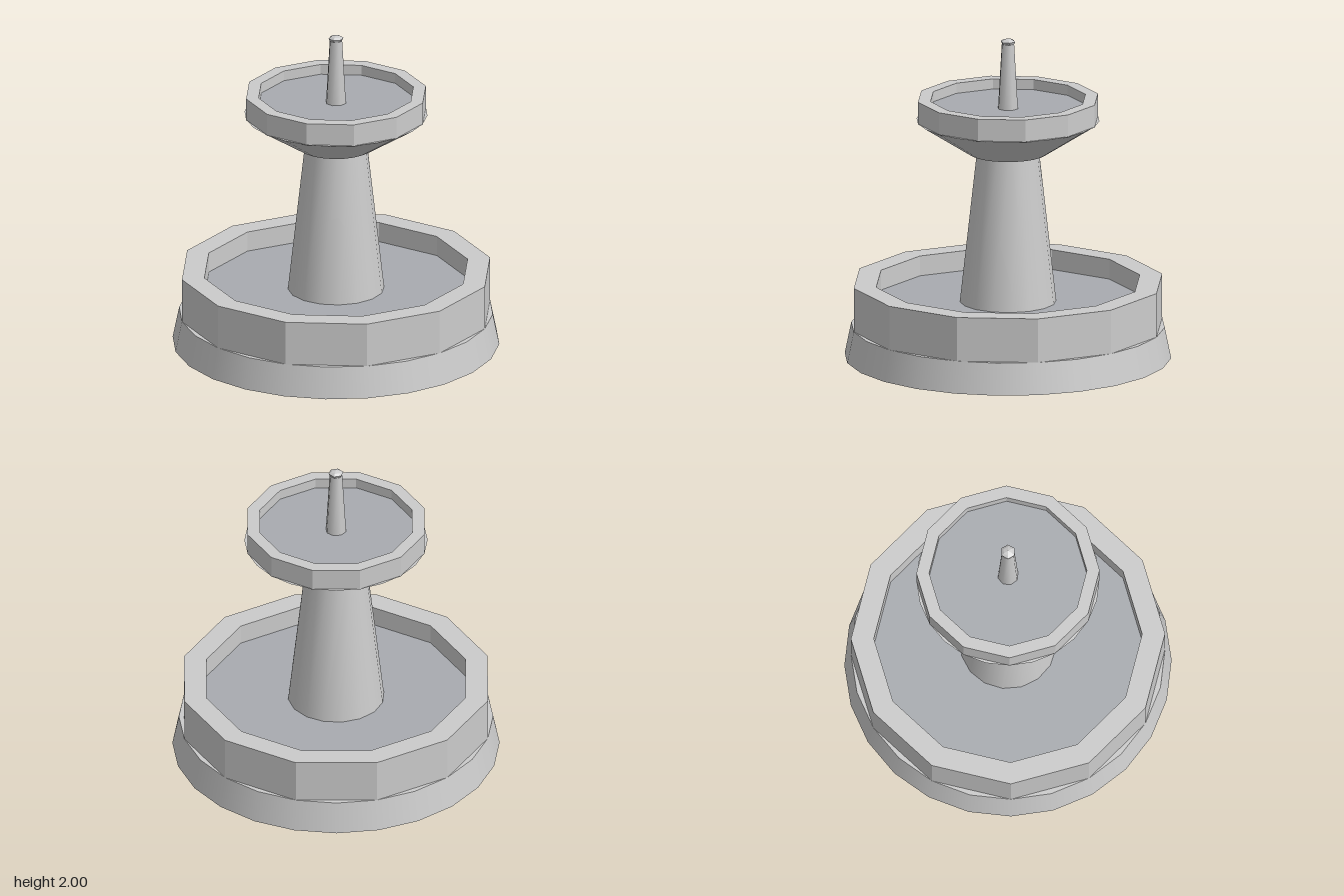
import * as THREE from 'three';

const smooth = new THREE.MeshStandardMaterial({ color: 0xcccccc });
const faceted = new THREE.MeshStandardMaterial({ color: 0xcccccc, flatShading: true });
const water = new THREE.MeshStandardMaterial({ color: 0xa8abb0 });

export function createModel() {
  const fountain = new THREE.Group();
  fountain.name = 'fountain';

  const add = (name, geometry, material) => {
    const mesh = new THREE.Mesh(geometry, material);
    mesh.name = name;
    fountain.add(mesh);
    return mesh;
  };

  // Tapered round section standing between two heights
  const taper = (name, rBottom, rTop, y0, y1, sides, material = smooth) => {
    const mesh = add(name, new THREE.CylinderGeometry(rTop, rBottom, y1 - y0, sides), material);
    mesh.position.y = (y0 + y1) / 2;
  };

  // Twelve-sided rim wall with a flat pool surface inside
  const basin = (name, rOuter, rInner, y0, y1, level) => {
    const profile = [[rOuter, y0], [rOuter, y1], [rInner, y1], [rInner, level]]
      .map(([r, y]) => new THREE.Vector2(r, y));
    add(name + 'Rim', new THREE.LatheGeometry(profile, 12), faceted);
    const pool = add(name + 'Water', new THREE.CircleGeometry(rInner, 12), water);
    pool.rotation.x = -Math.PI / 2;
    pool.position.y = level;
  };

  // Lower tier
  taper('base', 1, 0.96, 0, 0.195, 24);
  basin('lowerBasin', 0.96, 0.82, 0.19, 0.47, 0.345);

  // Column and upper tier
  taper('column', 0.295, 0.19, 0.345, 1.29, 16);
  taper('bowlUnderside', 0.24, 0.56, 1.28, 1.487, 24);
  basin('upperBasin', 0.56, 0.482, 1.483, 1.624, 1.56);

  // Spout with a small faceted tip
  taper('spout', 0.064, 0.04, 1.56, 1.965, 8);
  const tip = [[0, 1.955], [0.035, 1.957], [0.047, 1.98], [0.03, 1.991], [0, 2]]
    .map(([r, y]) => new THREE.Vector2(r, y));
  add('spoutTip', new THREE.LatheGeometry(tip, 6), faceted);

  return fountain;
}
